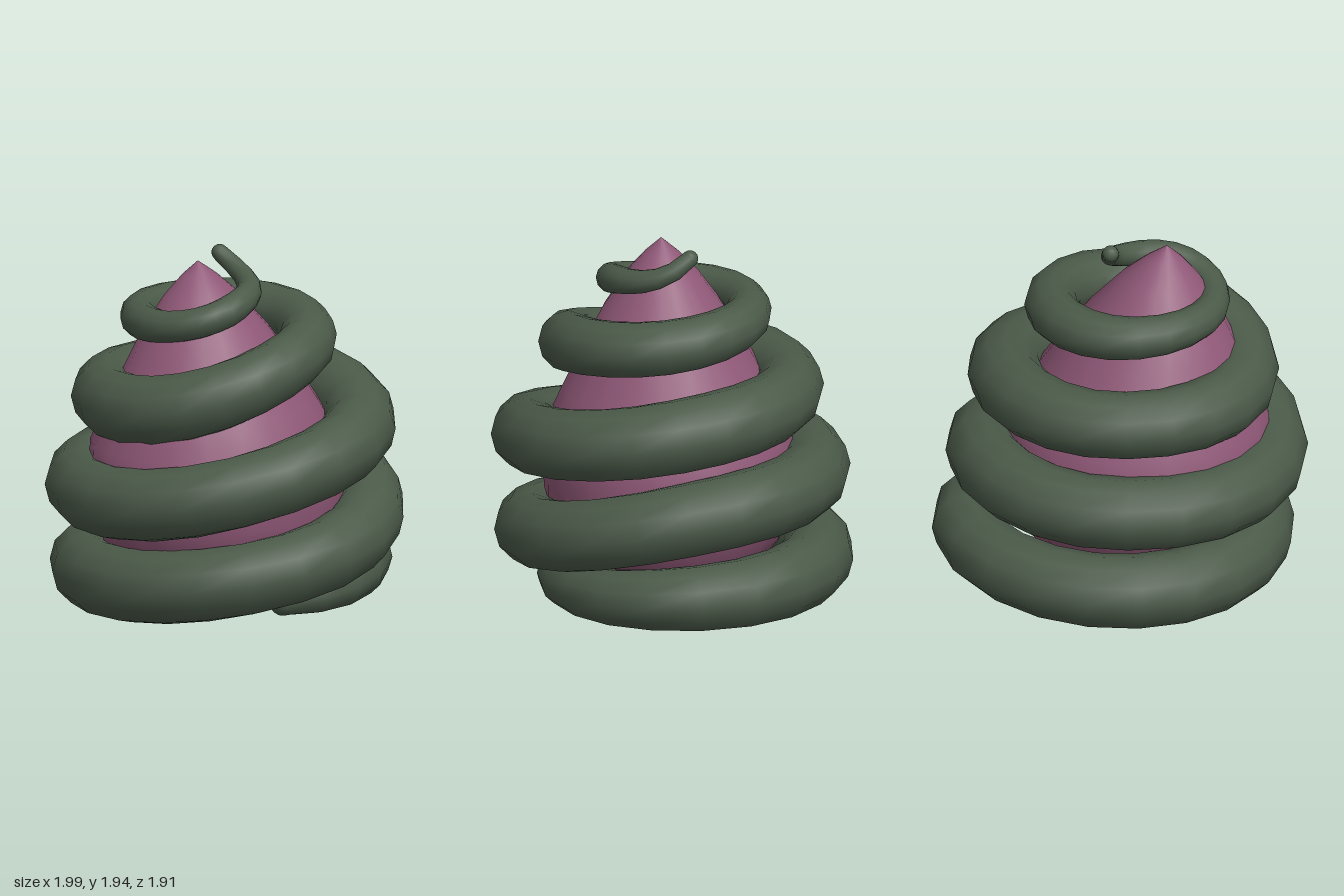
import * as THREE from 'three';
import { ParametricGeometry } from 'three/addons/geometries/ParametricGeometry.js';

// One row per quarter turn (left, front, right, back...): centre x, turn radius, height, tube radius
const TURNS = [
  [0, 0.5, 0.1, -0.02], [0, 0.645, 0.145, 0.105], [0.04, 0.785, 0.26, 0.18], [0, 0.76, 0.22, 0.2],
  [0, 0.73, 0.22, 0.2], [0, 0.77, 0.41, 0.193], [0, 0.735, 0.69, 0.2], [0, 0.755, 0.69, 0.197],
  [-0.02, 0.785, 0.68, 0.197], [-0.02, 0.77, 0.935, 0.193], [-0.03, 0.65, 1.13, 0.2], [-0.04, 0.63, 1.155, 0.18],
  [-0.07, 0.59, 1.17, 0.19], [-0.1, 0.52, 1.42, 0.16], [-0.1, 0.47, 1.54, 0.145], [-0.12, 0.42, 1.575, 0.115],
  [-0.2, 0.3, 1.6, 0.088], [-0.25, 0.265, 1.71, 0.08], [-0.23, 0.285, 1.84, 0.05], [-0.24, 0.29, 2.25, 0.025],
];
const FIRST = 0.75;
const LAST = 18.18;

const spline = (pick) => new THREE.CatmullRomCurve3(
  TURNS.map((row) => new THREE.Vector3(...pick(row))), false, 'catmullrom', 0.5);
const pathData = spline(([cx, R, y]) => [cx, y, R]);
const thickness = spline(([, , , r]) => [r, 0, 0]);
const toT = (q) => q / (TURNS.length - 1);
const toAngle = (q) => (q - 1) * Math.PI / 2;

function coilPoint(q) {
  const d = pathData.getPoint(toT(q));
  const a = toAngle(q);
  return new THREE.Vector3(d.x + d.z * Math.sin(a), d.y, d.z * Math.cos(a));
}
const coilRadius = (q) => thickness.getPoint(toT(q)).x;

// Tapered tube swept along the tilted spiral
function coilSurface(u, v, target) {
  const q = THREE.MathUtils.lerp(FIRST, LAST, v);
  const a = toAngle(q);
  const t = coilPoint(q + 0.02).sub(coilPoint(q - 0.02)).normalize();
  const n = new THREE.Vector3(Math.sin(a), 0, Math.cos(a));
  n.addScaledVector(t, -n.dot(t)).normalize();
  const b = new THREE.Vector3().crossVectors(t, n);
  const r = coilRadius(q);
  const w = u * Math.PI * 2;
  target.copy(coilPoint(q)).addScaledVector(n, r * Math.cos(w)).addScaledVector(b, r * Math.sin(w));
}

export function createModel() {
  const group = new THREE.Group();
  const green = new THREE.MeshStandardMaterial({ color: 0x4b5a49 });
  const pink = new THREE.MeshStandardMaterial({ color: 0x8f5877 });
  const add = (name, geometry, material) => {
    const mesh = new THREE.Mesh(geometry, material);
    mesh.name = name;
    group.add(mesh);
    return mesh;
  };

  // Spiral coil with rounded ends
  add('coil', new ParametricGeometry(coilSurface, 12, 88), green);
  for (const [name, q] of [['coilStart', FIRST], ['coilTip', LAST]]) {
    const end = add(name, new THREE.SphereGeometry(coilRadius(q), 12, 8), green);
    end.position.copy(coilPoint(q));
  }

  // Round-bottomed cone, slightly flattened in depth, whose tip leans to the side
  const profile = [
    [0, 0.02], [0.27, 0.06], [0.5, 0.18], [0.65, 0.35], [0.72, 0.55], [0.72, 0.75], [0.7, 0.92],
    [0.59, 1.13], [0.46, 1.36], [0.36, 1.53], [0.21, 1.73], [0.1, 1.84], [0, 1.92],
  ].map(([r, y]) => new THREE.Vector2(r, y));
  const cone = new THREE.LatheGeometry(profile, 20);
  const pos = cone.attributes.position;
  for (let i = 0; i < pos.count; i++) {
    pos.setX(i, pos.getX(i) - 0.05 - 0.2 * (pos.getY(i) / 1.92) ** 2);
    pos.setZ(i, pos.getZ(i) * 0.93);
  }
  add('innerCone', cone, pink);

  return group;
}
